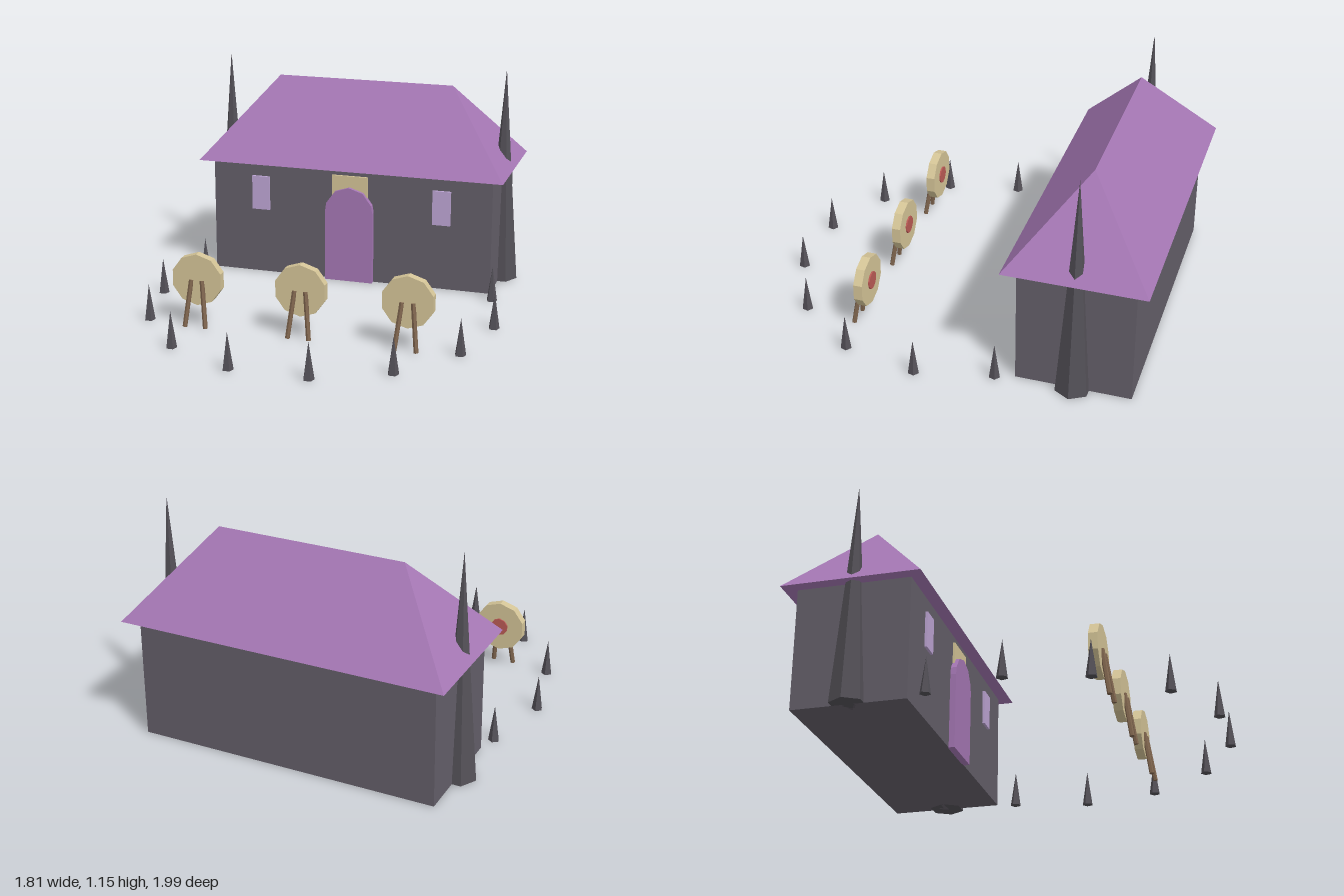
import * as THREE from 'three';

const mat = (name, color) => new THREE.MeshStandardMaterial({ name, color });

export function createModel() {
  const model = new THREE.Group();
  const purple = mat('purple', 0xa577b4);
  const lavender = mat('lavender', 0xbda5d4);
  const stone = mat('stone', 0x645f69);
  const charcoal = mat('charcoal', 0x545158);
  const straw = mat('straw', 0xd4c497);
  const wood = mat('wood', 0x80664f);
  const red = mat('red', 0xbb5a55);

  // Faceted mesh: every face gets its own normal
  function add(parent, name, geometry, material, x = 0, y = 0, z = 0) {
    const geo = geometry.index ? geometry.toNonIndexed() : geometry;
    geo.computeVertexNormals();
    const mesh = new THREE.Mesh(geo, material);
    mesh.name = name;
    mesh.position.set(x, y, z);
    parent.add(mesh);
    return mesh;
  }

  const house = new THREE.Group();
  house.name = 'house';
  house.position.z = -0.65;
  model.add(house);

  // Walls
  add(house, 'walls', new THREE.BoxGeometry(1.53, 0.62, 0.57), stone, 0, 0.31, 0);

  // Hipped roof: four eave corners and a ridge, closed underneath
  const w = 0.828, d = 0.35, ridge = 0.48, rise = 0.42;
  const roof = new THREE.BufferGeometry();
  roof.setAttribute('position', new THREE.Float32BufferAttribute([
    -w, 0, d, w, 0, d, w, 0, -d, -w, 0, -d, -ridge, rise, 0, ridge, rise, 0,
  ], 3));
  roof.setIndex([
    0, 1, 5, 0, 5, 4, 1, 2, 5, 2, 3, 4, 2, 4, 5, 3, 0, 4, 0, 3, 2, 0, 2, 1,
  ]);
  add(house, 'roof', roof, purple, 0, 0.618, 0);

  // Arched door: straight jambs under half a decagon
  const door = new THREE.Shape();
  door.moveTo(-0.13, 0);
  door.lineTo(0.13, 0);
  door.lineTo(0.13, 0.39);
  for (let deg = 18; deg <= 162; deg += 36) {
    const a = THREE.MathUtils.degToRad(deg);
    door.lineTo(0.13 * Math.cos(a), 0.39 + 0.13 * Math.sin(a));
  }
  door.lineTo(-0.13, 0.39);
  add(house, 'door', new THREE.ExtrudeGeometry(door, { depth: 0.035, bevelEnabled: false }),
    purple, 0, 0, 0.28);

  // Panel above the door
  add(house, 'doorPanel', new THREE.BoxGeometry(0.195, 0.12, 0.02), straw, 0, 0.52, 0.286);

  for (const s of [-1, 1]) {
    // Windows
    add(house, 'window', new THREE.BoxGeometry(0.097, 0.185, 0.02), lavender,
      s * 0.498, 0.447, 0.288);
    // Tall end spires rising through the roof
    const spire = add(house, 'spire', new THREE.ConeGeometry(0.09, 1.145, 6), charcoal,
      s * 0.765, 0.5725, 0);
    spire.rotation.y = Math.PI / 2;
  }

  // Archery targets on two splayed legs, bullseye facing the house
  const bottom = new THREE.Vector3(), top = new THREE.Vector3();
  for (const x of [-0.535, 0, 0.535]) {
    const target = new THREE.Group();
    target.name = 'target';
    target.position.set(x, 0, 0.473);
    model.add(target);

    const disc = new THREE.CylinderGeometry(0.132, 0.132, 0.045, 10).rotateX(-Math.PI / 2);
    add(target, 'targetDisc', disc, straw, 0, 0.237, 0);
    const eye = new THREE.CylinderGeometry(0.046, 0.046, 0.008, 10).rotateX(-Math.PI / 2);
    add(target, 'bullseye', eye, red, 0, 0.237, -0.026);

    for (const s of [-1, 1]) {
      bottom.set(s * 0.054, 0, 0.058);
      top.set(s * 0.028, 0.235, 0.022);
      const dir = top.clone().sub(bottom);
      const leg = add(target, 'targetLeg',
        new THREE.CylinderGeometry(0.012, 0.012, dir.length(), 6), wood);
      leg.position.copy(bottom).add(top).multiplyScalar(0.5);
      leg.quaternion.setFromUnitVectors(new THREE.Vector3(0, 1, 0), dir.normalize());
    }
  }

  // Ring of small spikes around the yard
  const spikes = [[0.794, -0.27], [0.88, 0.11], [0.794, 0.492], [0.548, 0.802], [0.196, 0.972]];
  for (const [x, z] of spikes) {
    for (const s of [-1, 1]) {
      const spike = add(model, 'yardSpike', new THREE.ConeGeometry(0.028, 0.185, 5), charcoal,
        s * x, 0.0925, z);
      spike.rotation.y = Math.PI;
    }
  }

  return model;
}
